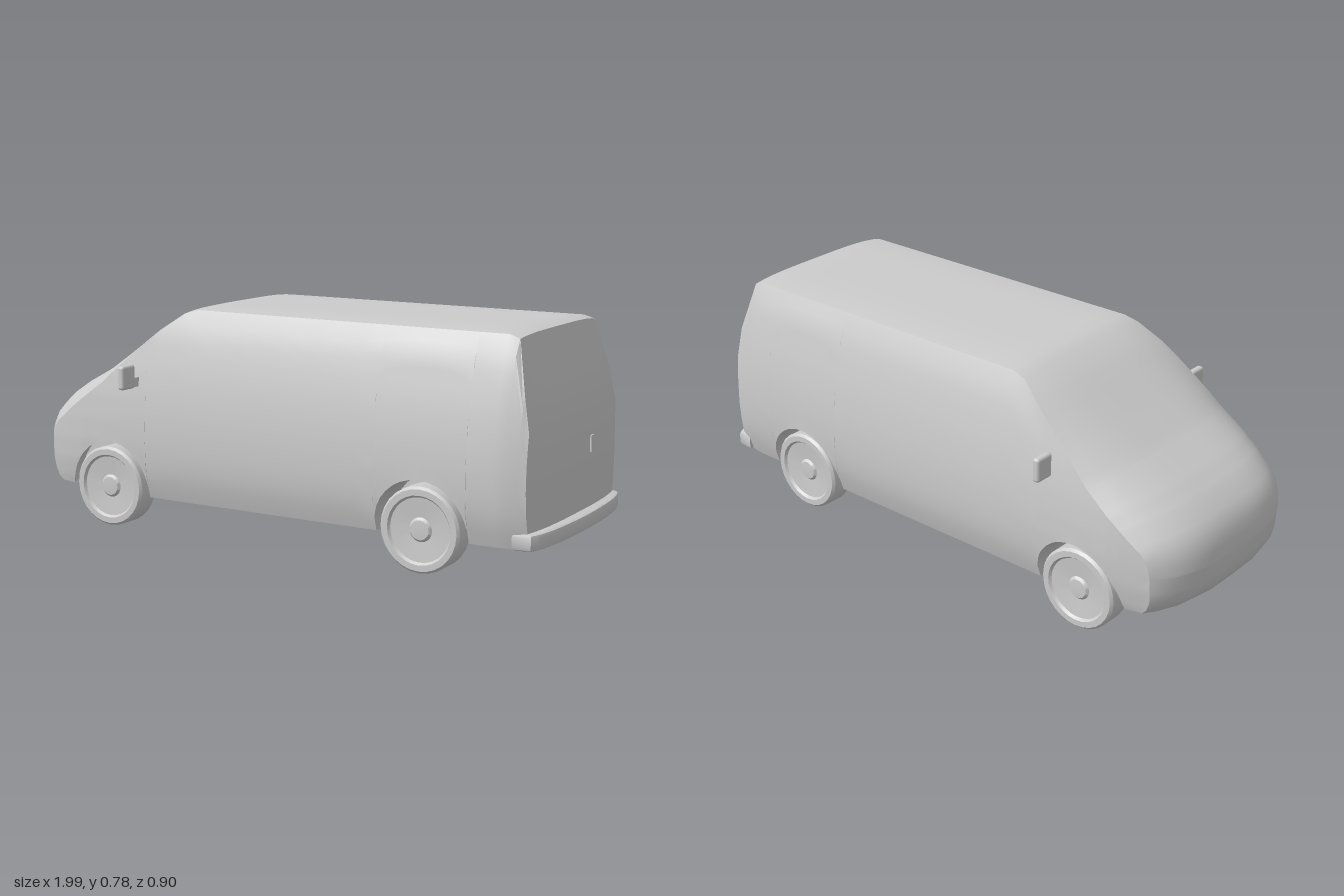
import * as THREE from 'three';
import { toCreasedNormals } from 'three/addons/utils/BufferGeometryUtils.js';
import { RoundedBoxGeometry } from 'three/addons/geometries/RoundedBoxGeometry.js';

const material = new THREE.MeshStandardMaterial({ color: 0xcccccc });
const CENTRE_Z = -0.0135; // the body sits slightly off the mirror centre line
const HALF = 0.388;
const AXLES = [-0.64, 0.58];
const ARCH_R = 0.163, AXLE_Y = 0.14;

// Body stations: x, top height, bottom height, edge drop of the top, width scale
const STATIONS = [
  [-1.0, 0.27, 0.27, 0, 0.93],
  [-0.997, 0.31, 0.215, 0.01, 0.93],
  [-0.988, 0.345, 0.18, 0.02, 0.935],
  [-0.972, 0.38, 0.15, 0.03, 0.945],
  [-0.95, 0.405, 0.132, 0.04, 0.955],
  [-0.9, 0.448, 0.13, 0.045, 0.98],
  [-0.84, 0.485, 0.125, 0.045, 0.995],
  [-0.72, 0.547, 0.117, 0.04, 1],
  [-0.6, 0.622, 0.115, 0.03, 1],
  [-0.45, 0.718, 0.115, 0.02, 1],
  [-0.36, 0.768, 0.115, 0.012, 1],
  [-0.31, 0.779, 0.115, 0.009, 1],
  [0.84, 0.775, 0.115, 0.009, 1],
  [0.88, 0.765, 0.115, 0.01, 0.99],
  [0.93, 0.6, 0.115, 0.01, 0.965],
  [0.957, 0.48, 0.115, 0.004, 0.94],
  [0.9575, 0.3, 0.3, 0, 0.94],
];
// Side wall: height, half width
const WALL = [[0.1, 0.35], [0.15, 0.369], [0.22, 0.383], [0.3, 0.388], [0.38, 0.386],
  [0.46, 0.379], [0.55, 0.365], [0.69, 0.332], [0.78, 0.287]];

function lookUp(table, t, col) {
  let i = 1;
  while (i < table.length - 1 && table[i][0] < t) i++;
  const a = table[i - 1], b = table[i];
  const f = THREE.MathUtils.clamp((t - a[0]) / (b[0] - a[0]), 0, 1);
  return a[col] + (b[col] - a[col]) * f;
}

// Bows nose, windscreen and tail in plan
function bow(s, z) {
  const u = Math.pow(Math.abs(z) / HALF, 3.5);
  if (s < -0.35) return 0.13 * Math.pow((-0.35 - s) / 0.65, 1.2) * u;
  if (s > 0.82) return -0.03 * (s - 0.82) / 0.137 * u;
  return 0;
}

// Height of the lower body edge, raised over the wheels
function lowerEdge(s, bottom) {
  const x = s + bow(s, 0.365);
  for (const c of AXLES) {
    const d = Math.abs(x - c);
    if (d < ARCH_R - 0.0005) return Math.max(bottom, AXLE_Y + Math.sqrt(ARCH_R ** 2 - d * d));
  }
  return bottom;
}

function section(s) {
  const top = lookUp(STATIONS, s, 1), bottom = lookUp(STATIONS, s, 2);
  const drop = lookUp(STATIONS, s, 3), scale = lookUp(STATIONS, s, 4);
  const low = lowerEdge(s, bottom), high = Math.max(low, top - drop);
  const half = [[0, bottom], [0.12, bottom], [0.24, bottom], [0.24, low], [0.31, low]];
  const sideSteps = 12, topSteps = 10;
  for (let i = 0; i <= sideSteps; i++) {
    const y = low + (high - low) * i / sideSteps;
    half.push([lookUp(WALL, y, 1) * scale, y]);
  }
  const edge = half[half.length - 1][0];
  for (let i = 1; i <= topSteps; i++) {
    const u = 1 - i / topSteps;
    half.push([edge * u, top - (top - high) * u ** 4]);
  }
  const mirrored = half.slice(1, -1).reverse().map(([z, y]) => [-z, y]);
  return [...half, ...mirrored].map(([z, y]) => [s + bow(s, z), y, z + CENTRE_Z]);
}

function bodyGeometry() {
  const xs = STATIONS.map((row) => row[0]);
  for (let x = -0.25; x < 0.8; x += 0.15) xs.push(x);
  for (const c of AXLES) {
    const offsets = [ARCH_R, ARCH_R - 0.001];
    for (let i = 1; i <= 8; i++) offsets.push(ARCH_R * Math.cos(i * Math.PI / 16));
    for (const o of offsets) for (const side of [-1, 1]) {
      const target = c + side * o;
      let s = target;
      for (let n = 0; n < 25; n++) s = target - bow(s, 0.365);
      xs.push(s);
    }
  }
  xs.sort((a, b) => a - b);
  const rings = xs.map(section), n = rings[0].length;
  const index = [];
  for (let i = 0; i < rings.length - 1; i++) {
    for (let j = 0; j < n; j++) {
      const a = i * n + j, d = i * n + (j + 1) % n;
      index.push(a, a + n, d, a + n, d + n, d);
    }
  }
  const g = new THREE.BufferGeometry();
  g.setAttribute('position', new THREE.Float32BufferAttribute(rings.flat(2), 3));
  g.setIndex(index);
  return toCreasedNormals(g, 0.55);
}

function wheelGeometry() {
  // Half profile: radius, distance along the axle (outer side positive)
  const profile = [[0, -0.045], [0.13, -0.045], [0.14, -0.036], [0.14, 0.036], [0.132, 0.045],
    [0.112, 0.045], [0.105, 0.036], [0.04, 0.03], [0.032, 0.038], [0, 0.04]];
  const g = new THREE.LatheGeometry(profile.map(([r, h]) => new THREE.Vector2(r, h)), 28);
  return toCreasedNormals(g.rotateX(Math.PI / 2), 0.5);
}

function bumperGeometry() {
  const shape = new THREE.Shape();
  shape.moveTo(0.9, -0.355);
  shape.lineTo(0.945, -0.35);
  shape.quadraticCurveTo(0.98, -0.3, 0.984, 0);
  shape.quadraticCurveTo(0.98, 0.3, 0.945, 0.35);
  shape.lineTo(0.9, 0.355);
  shape.closePath();
  const g = new THREE.ExtrudeGeometry(shape, {
    depth: 0.03, bevelThickness: 0.012, bevelSize: 0.01, bevelSegments: 2, curveSegments: 10 });
  return toCreasedNormals(g.rotateX(-Math.PI / 2).translate(0, 0.127, CENTRE_Z), 0.6);
}

export function createModel() {
  const van = new THREE.Group();
  van.name = 'van';
  const add = (name, geometry, x = 0, y = 0, z = 0, parent = van) => {
    const mesh = new THREE.Mesh(geometry, material);
    mesh.name = name;
    mesh.position.set(x, y, z);
    parent.add(mesh);
    return mesh;
  };

  add('body', bodyGeometry());
  add('rearBumper', bumperGeometry());
  add('rearDoorHandle', new THREE.BoxGeometry(0.012, 0.055, 0.025), 0.956, 0.378, -0.108);

  // Wheels
  const wheel = wheelGeometry();
  AXLES.forEach((x, i) => {
    for (const side of [-1, 1]) {
      const mesh = add(i ? 'rearWheel' : 'frontWheel', wheel, x, AXLE_Y, CENTRE_Z + side * 0.335);
      if (side < 0) mesh.rotation.y = Math.PI;
    }
  });

  // Door mirrors on short arms
  for (const side of [-1, 1]) {
    const mirror = new THREE.Group();
    mirror.name = 'doorMirror';
    add('mirrorHousing', new RoundedBoxGeometry(0.026, 0.082, 0.07, 2, 0.01), -0.515, 0.542, side * 0.415, mirror);
    add('mirrorArm', new THREE.BoxGeometry(0.014, 0.032, 0.07), -0.515, 0.52, side * 0.36, mirror);
    van.add(mirror);
  }
  return van;
}
